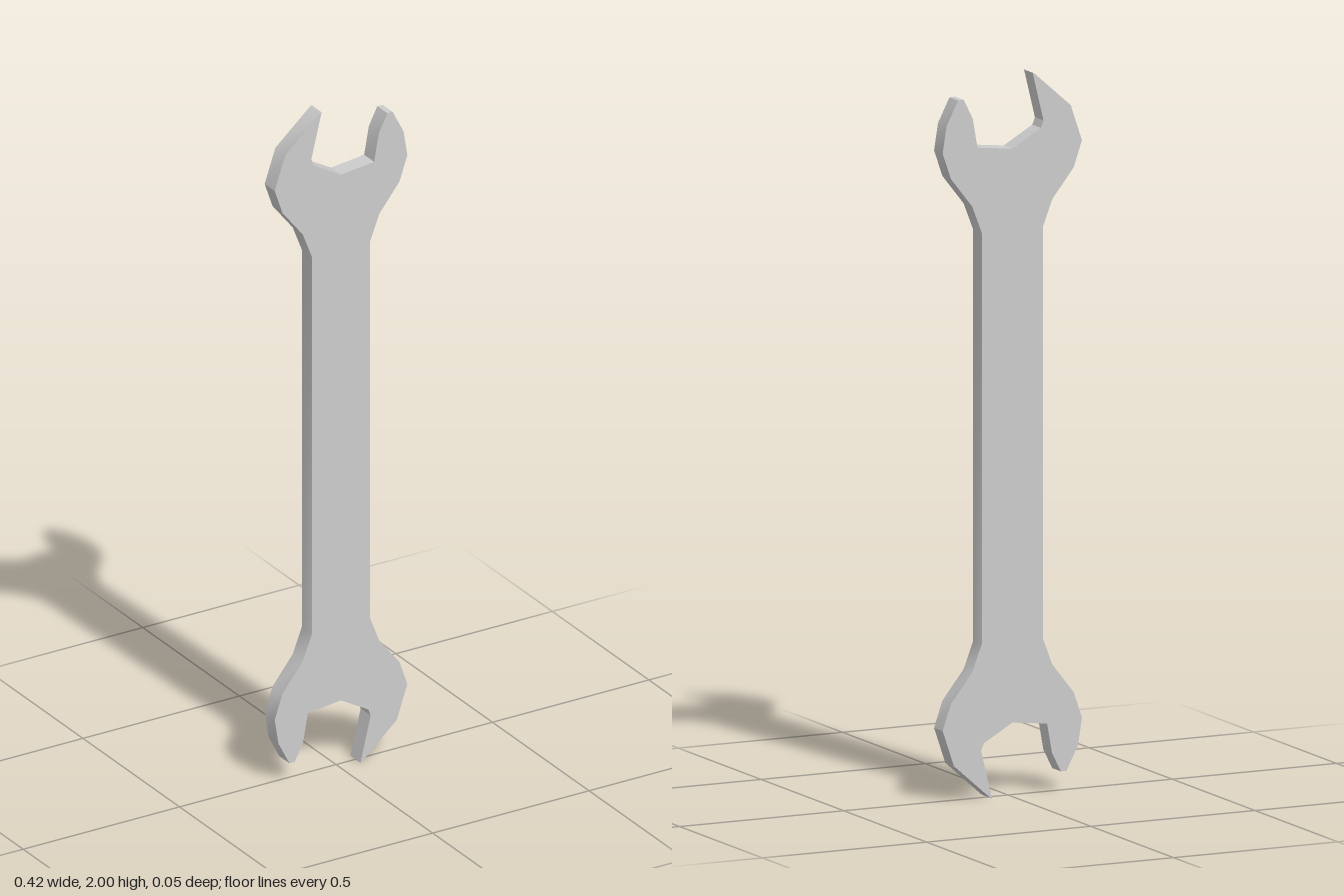
import * as THREE from 'three';
import { toCreasedNormals } from 'three/addons/utils/BufferGeometryUtils.js';

export function createModel() {
  const group = new THREE.Group();
  group.name = 'openEndedWrench';

  // Upper jaw outline, counter-clockwise from the right of the shank to the left
  const jaw = [
    [0.093, 1.57], [0.122, 1.645], [0.187, 1.727], [0.212, 1.8], [0.2, 1.875],
    [0.165, 1.943], [0.148, 1.943], [0.121, 1.89], [0.106, 1.807], // short prong
    [0, 1.795], [-0.087, 1.845], [-0.095, 1.865], // mouth
    [-0.062, 2], [-0.069, 1.996], [-0.178, 1.9], [-0.212, 1.8], // long prong
    [-0.187, 1.727], [-0.122, 1.645], [-0.093, 1.57],
  ];

  // The lower jaw is the upper one turned half a circle about the middle
  const points = [];
  for (const s of [1, -1]) {
    for (const [x, y] of jaw) points.push(new THREE.Vector2(s * x, 1 + s * (y - 1)));
  }

  // Flat plate with gently smoothed outer edges
  const depth = 0.052;
  const plate = new THREE.ExtrudeGeometry(new THREE.Shape(points), { depth, bevelEnabled: false });
  plate.translate(0, 0, -depth / 2);

  const body = new THREE.Mesh(
    toCreasedNormals(plate, THREE.MathUtils.degToRad(30)),
    new THREE.MeshStandardMaterial({ color: 0xcccccc })
  );
  body.name = 'wrenchBody';
  group.add(body);
  return group;
}
